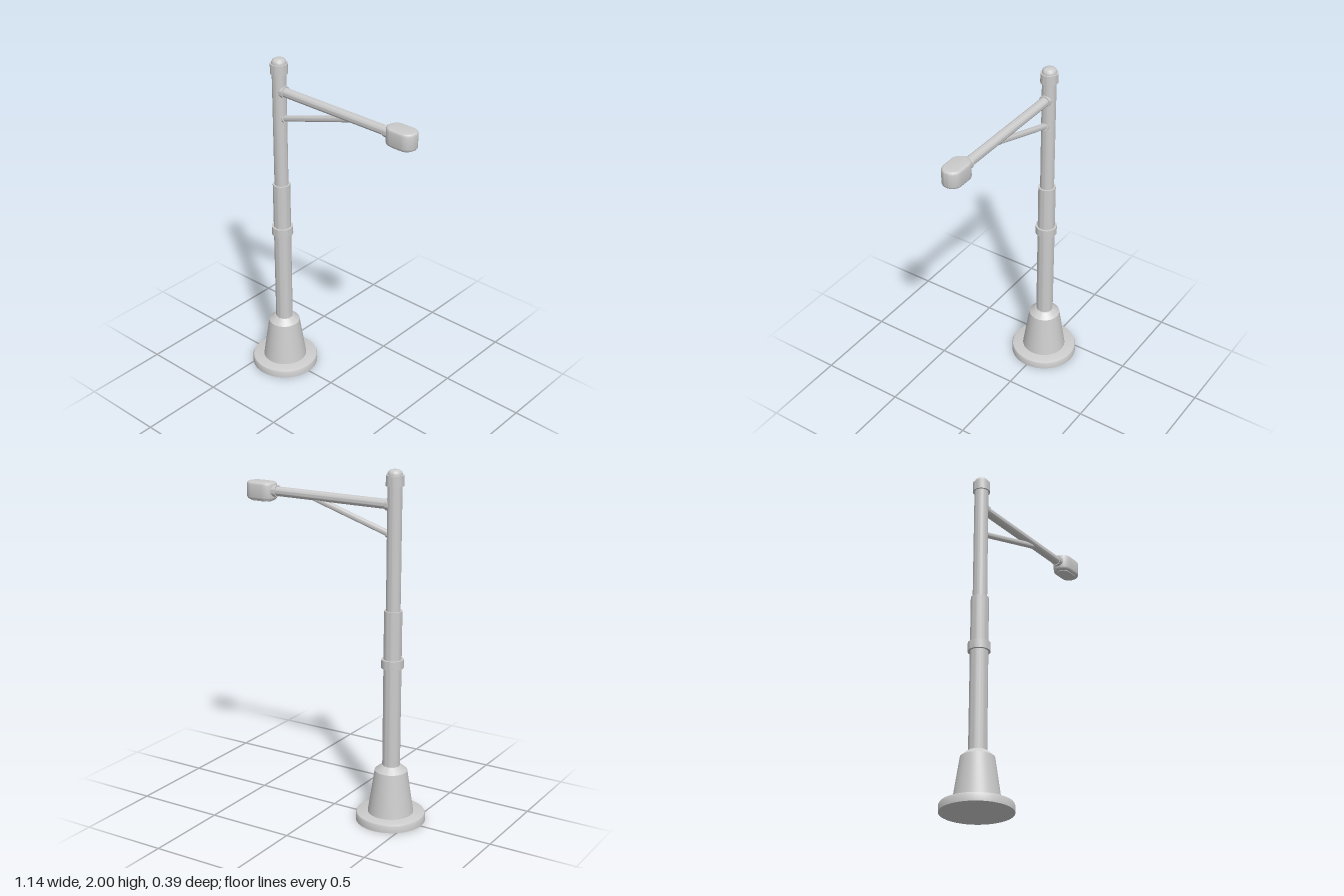
import * as THREE from 'three';
import { toCreasedNormals } from 'three/addons/utils/BufferGeometryUtils.js';

const material = new THREE.MeshStandardMaterial({ color: 0xcccccc });
const POLE_X = -0.375;
const ARM_Y = 1.81;

export function createModel() {
  const model = new THREE.Group();
  model.name = 'streetLamp';

  const add = (name, geometry, crease = 0.5) => {
    const mesh = new THREE.Mesh(toCreasedNormals(geometry, crease), material);
    mesh.name = name;
    model.add(mesh);
    return mesh;
  };

  // Turned part standing on the pole axis; profile is [radius, y] from bottom to top
  const turned = (name, profile) => {
    const points = profile.map(([r, y]) => new THREE.Vector2(r, y));
    add(name, new THREE.LatheGeometry(points, 40)).position.x = POLE_X;
  };

  // Round bar between two points in the plane of the arm
  const bar = (name, x1, y1, x2, y2, radius) => {
    const a = new THREE.Vector3(x1, y1, 0);
    const b = new THREE.Vector3(x2, y2, 0);
    const mesh = add(name, new THREE.CylinderGeometry(radius, radius, a.distanceTo(b), 28));
    mesh.position.copy(a).lerp(b, 0.5);
    mesh.quaternion.setFromUnitVectors(new THREE.Vector3(0, 1, 0), b.sub(a).normalize());
  };

  // Base and pole
  turned('basePlate', [[0, 0], [0.197, 0], [0.197, 0.038], [0.193, 0.046], [0.183, 0.05], [0, 0.05]]);
  turned('baseCone', [[0, 0.045], [0.13, 0.045], [0.092, 0.3], [0.055, 0.332], [0, 0.332]]);
  turned('lowerPole', [[0, 0.32], [0.05, 0.32], [0.05, 1.23], [0, 1.23]]);
  turned('poleRing', [[0.045, 0.905], [0.062, 0.905], [0.062, 0.955], [0.045, 0.955]]);
  turned('upperPole', [[0, 1.22], [0.04, 1.22], [0.04, 1.95], [0, 1.95]]);
  turned('capCollar', [[0.035, 1.912], [0.049, 1.912], [0.049, 1.97], [0, 1.97]]);
  turned('capDome', [[0.041, 1.965], [0.041, 1.975], [0.038, 1.986], [0.031, 1.994], [0.02, 1.999], [0, 2]]);

  // Arm, brace and their collars
  bar('arm', -0.36, ARM_Y, 0.42, ARM_Y, 0.027);
  bar('armPoleCollar', -0.352, ARM_Y, -0.328, ARM_Y, 0.034);
  bar('armLampCollar', 0.375, ARM_Y, 0.41, ARM_Y, 0.033);
  bar('brace', -0.36, 1.645, 0.16, 1.806, 0.017);
  bar('bracePoleCollar', -0.355, 1.647, -0.334, 1.6535, 0.024);

  // Lamp head: rounded-end outline with softened top and bottom edges
  const stadium = (halfLength, radius) => {
    const shape = new THREE.Shape();
    const c = halfLength - radius;
    shape.absarc(c, 0, radius, -Math.PI / 2, Math.PI / 2);
    shape.absarc(-c, 0, radius, Math.PI / 2, Math.PI * 1.5);
    shape.closePath();
    return shape;
  };
  const slab = (name, halfLength, radius, bottom, top, bevel) => {
    const geometry = new THREE.ExtrudeGeometry(stadium(halfLength - bevel, radius - bevel), {
      depth: top - bottom - 2 * bevel, bevelThickness: bevel, bevelSize: bevel,
      bevelSegments: 4, curveSegments: 20,
    });
    geometry.rotateX(-Math.PI / 2);
    add(name, geometry).position.set(0.482, bottom + bevel, 0);
  };
  slab('lampHead', 0.09, 0.056, 1.757, 1.857, 0.014);
  slab('lampLens', 0.07, 0.04, 1.75, 1.77, 0.004);

  return model;
}
